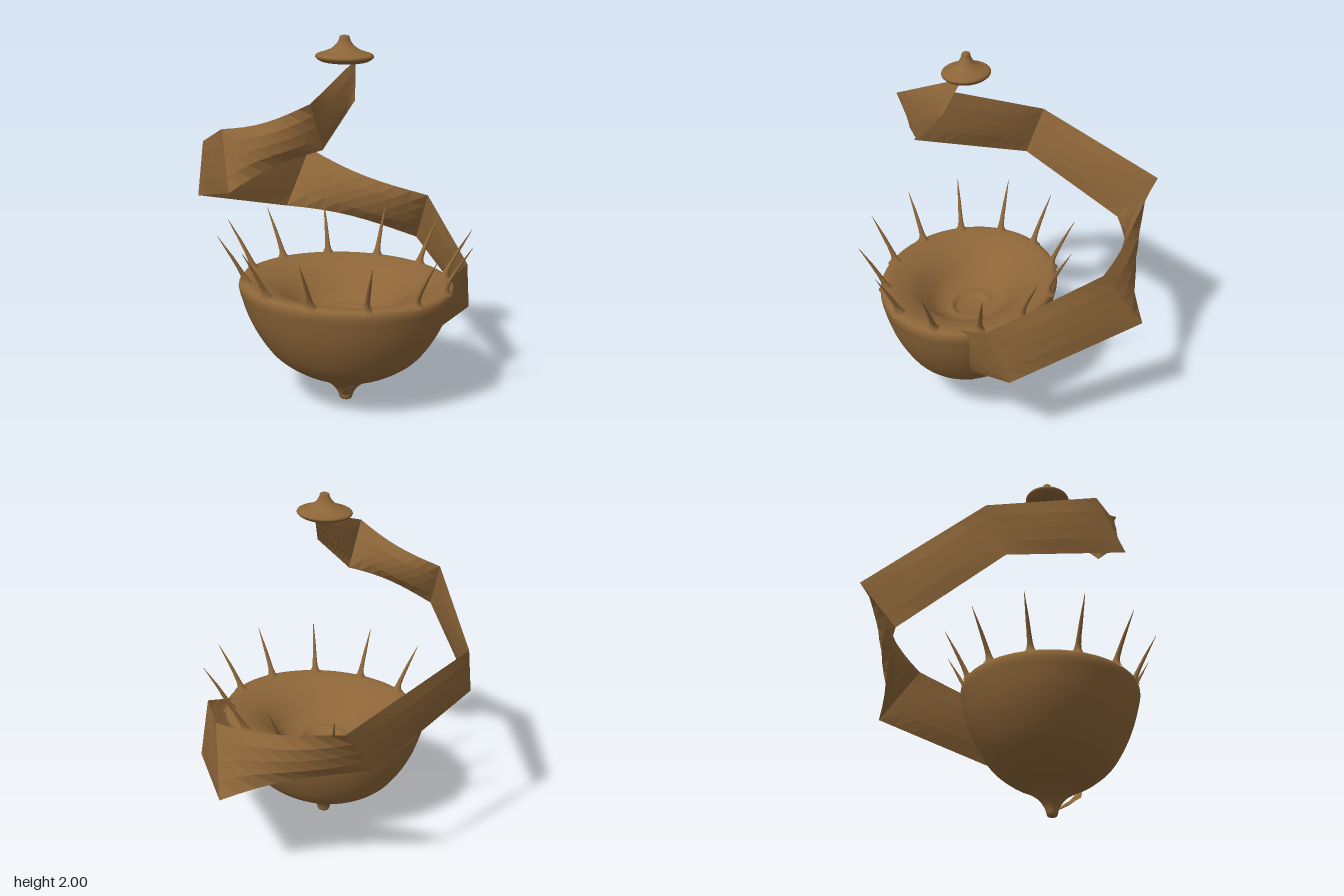
import * as THREE from 'three';

const bronze = new THREE.MeshStandardMaterial({ color: 0x8c6538 });
bronze.name = 'bronze';
const bronzeSheet = new THREE.MeshStandardMaterial({ color: 0x8c6538, side: THREE.DoubleSide });
bronzeSheet.name = 'bronze sheet';

const CX = 0.1, CZ = 0.195, OVAL = 0.83;

// Smooth oval turned part from [radius, y] points, bottom to top
function turned(name, profile, x, steps) {
  const curve = new THREE.CatmullRomCurve3(profile.map(([r, y]) => new THREE.Vector3(r, y, 0)), false, 'centripetal');
  const pts = curve.getPoints(steps).map(p => new THREE.Vector2(Math.max(p.x, 0), p.y));
  const mesh = new THREE.Mesh(new THREE.LatheGeometry(pts, 64), bronze);
  mesh.name = name;
  mesh.scale.z = OVAL;
  mesh.position.set(x, 0, CZ);
  return mesh;
}

// Twisted two-sided strip between upper and lower edge points.
// bulge(k) is the half thickness and pinch(k) the narrowing at the middle of span k.
function strip(name, edges, bulge, pinch) {
  const pos = [], n = 8, m = 4;
  const v = edges.map(([a, b]) => [new THREE.Vector3(...a), new THREE.Vector3(...b)]);
  for (let k = 0; k < v.length - 1; k++) {
    const along = v[k + 1][0].clone().add(v[k + 1][1]).sub(v[k][0]).sub(v[k][1]);
    const at = (i, j, side) => {
      const u = i / n, s = Math.sin(Math.PI * u);
      const w = 0.5 + (j / m - 0.5) * (1 - pinch(k) * s);
      const top = v[k][0].clone().lerp(v[k + 1][0], u);
      const low = v[k][1].clone().lerp(v[k + 1][1], u);
      const normal = low.clone().sub(top).cross(along).normalize();
      const thick = bulge(k) * s * Math.sqrt(Math.max(0, Math.sin(Math.PI * j / m)));
      return top.lerp(low, w).addScaledVector(normal, side * thick);
    };
    for (const side of [1, -1]) for (let i = 0; i < n; i++) for (let j = 0; j < m; j++) {
      const a = at(i, j, side), b = at(i + 1, j, side), c = at(i + 1, j + 1, side), d = at(i, j + 1, side);
      for (const p of side > 0 ? [a, d, b, b, d, c] : [a, b, d, b, c, d]) pos.push(p.x, p.y, p.z);
    }
  }
  const geo = new THREE.BufferGeometry();
  geo.setAttribute('position', new THREE.Float32BufferAttribute(pos, 3));
  geo.computeVertexNormals();
  const mesh = new THREE.Mesh(geo, bronzeSheet);
  mesh.name = name;
  return mesh;
}

// Slender thorn with a flared foot, leaning outward along its length
function thorn(angle) {
  const profile = [[0.045, -0.014], [0.03, 0.002], [0.02, 0.018], [0.015, 0.04], [0.012, 0.08], [0.009, 0.15], [0.001, 0.262]];
  const geo = new THREE.LatheGeometry(profile.map(([r, y]) => new THREE.Vector2(r, y)), 12);
  const p = geo.attributes.position;
  const c = Math.cos(angle), s = Math.sin(angle);
  for (let i = 0; i < p.count; i++) {
    const lean = 0.15 * Math.pow(Math.max(p.getY(i), 0) / 0.262, 1.15);
    p.setXYZ(i, p.getX(i) + c * lean, p.getY(i), p.getZ(i) + s * lean * 0.9);
  }
  geo.computeVertexNormals();
  const mesh = new THREE.Mesh(geo, bronze);
  mesh.name = 'thorn';
  mesh.position.set(CX + c * 0.54, 0.698, CZ + s * 0.54 * OVAL);
  return mesh;
}

export function createModel() {
  const model = new THREE.Group();

  // Pointed bowl with rounded rim and shallow funnel inside
  model.add(turned('bowl', [
    [0, 0.005], [0.03, 0.01], [0.045, 0.05], [0.085, 0.1], [0.155, 0.145], [0.275, 0.2], [0.395, 0.285],
    [0.48, 0.4], [0.535, 0.51], [0.568, 0.61], [0.58, 0.66], [0.573, 0.69], [0.54, 0.702],
    [0.47, 0.69], [0.38, 0.655], [0.3, 0.6], [0.23, 0.545], [0.16, 0.52], [0.12, 0.52], [0.09, 0.5], [0, 0.49],
  ], CX, 80));

  // Ring of thorns
  const thorns = new THREE.Group();
  thorns.name = 'thorns';
  for (let k = 0; k < 12; k++) thorns.add(thorn(THREE.MathUtils.degToRad(7.5 + 30 * k)));
  model.add(thorns);

  // Finial cap
  model.add(turned('cap', [
    [0, 1.862], [0.09, 1.863], [0.125, 1.87], [0.15, 1.89], [0.145, 1.902], [0.1, 1.918],
    [0.065, 1.935], [0.045, 1.952], [0.03, 1.975], [0.022, 1.996], [0, 2.0],
  ], 0.09, 50));

  // Spiral ribbon winding from the cap into the bowl; the front and back spans twist most
  const twists = k => k % 3 === 1;
  model.add(strip('ribbon', [
    [[0.15, 1.88, 0.2], [0.17, 1.69, 0.3]],
    [[0.02, 1.72, 0.59], [0.05, 1.47, 0.48]],
    [[-0.47, 1.55, 0.49], [-0.39, 1.26, 0.63]],
    [[-0.78, 1.35, -0.05], [-0.78, 1.065, 0.05]],
    [[-0.37, 1.17, -0.77], [-0.45, 0.86, -0.55]],
    [[0.4, 0.975, -0.58], [0.3, 0.65, -0.785]],
    [[0.715, 0.76, -0.04], [0.715, 0.47, -0.16]],
    [[0.46, 0.58, 0.48], [0.36, 0.3, 0.37]],
  ], k => twists(k) ? 0.04 : 0.015, k => twists(k) ? 0.2 : 0));

  // Ribbon end showing at the foot of the bowl
  model.add(strip('ribbonEnd', [
    [[0.2, 0.15, 0.31], [0.15, 0.15, 0.35]],
    [[0.15, 0.11, 0.29], [0.12, 0.11, 0.345]],
    [[0.12, 0.04, 0.21], [0.09, 0.04, 0.23]],
  ], () => 0.008, () => 0));
  return model;
}
